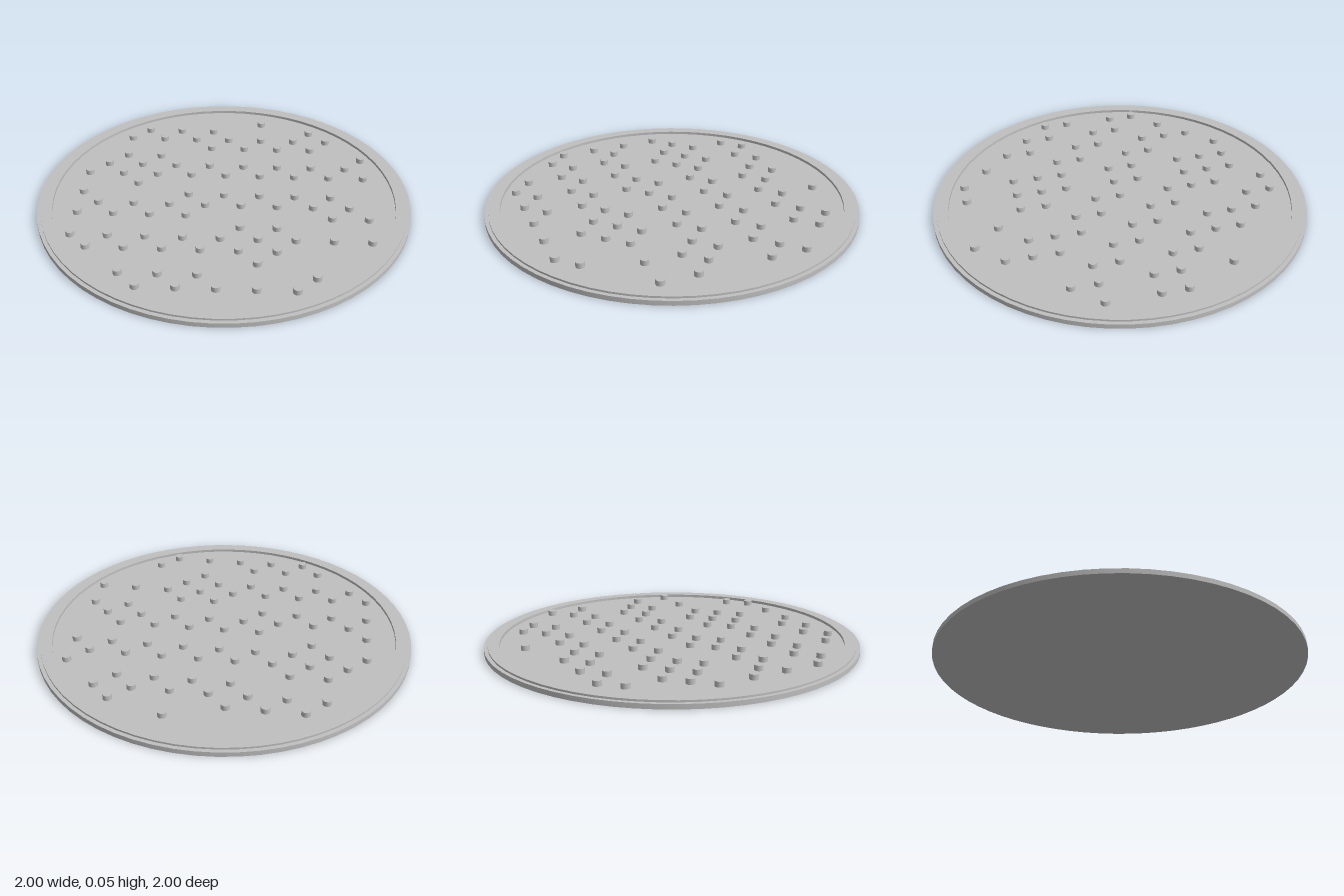
import * as THREE from 'three';
import { toCreasedNormals } from 'three/addons/utils/BufferGeometryUtils.js';

export function createModel() {
  const group = new THREE.Group();
  const grey = new THREE.MeshStandardMaterial({ color: 0xc0c0c0 });
  grey.name = 'light grey';

  // Round tray: flat base, stepped edge, raised rim and recessed floor
  const floorY = 0.02;
  const profile = [
    [0, 0], [1, 0], [1, 0.025], [0.98, 0.025],
    [0.98, 0.035], [0.92, 0.035], [0.92, floorY], [0, floorY],
  ].map(([r, y]) => new THREE.Vector2(r, y));
  const tray = new THREE.Mesh(toCreasedNormals(new THREE.LatheGeometry(profile, 64), 0.5), grey);
  tray.name = 'tray';
  group.add(tray);

  // Pegs on a square grid: column numbers for each row, back to front
  const pitch = 0.1355, top = 0.048;
  const rows = [
    [-1, 0, 2],
    [-3, -1, 0, 2, 3],
    [-2, -1, 1, 2],
    [-4, -3, -2, 0, 1, 3, 4, 5],
    [-5, -4, -3, -1, 0, 2, 3, 4, 6],
    [-6, -5, -2, -1, 1, 2, 5],
    [-6, -4, -3, -2, 0, 1, 3, 4],
    [-5, -4, -3, -1, 0, 2, 3, 4, 6],
    [-5, -4, -3, -1, 0, 2, 3, 4, 6],
    [-5, -2, -1, 1, 2, 5],
    [-4, -3, -2, 0, 1, 3, 4],
    [-3, -1, 0, 2, 3],
    [-2, -1, 1, 2],
  ];
  const pegGeometry = new THREE.CylinderGeometry(0.023, 0.023, top - floorY, 16);
  const pegs = new THREE.Group();
  pegs.name = 'pegs';
  rows.forEach((columns, row) => {
    for (const column of columns) {
      const peg = new THREE.Mesh(pegGeometry, grey);
      peg.name = 'peg';
      peg.position.set(column * pitch, (top + floorY) / 2, (row - 6) * pitch);
      pegs.add(peg);
    }
  });
  group.add(pegs);
  return group;
}
